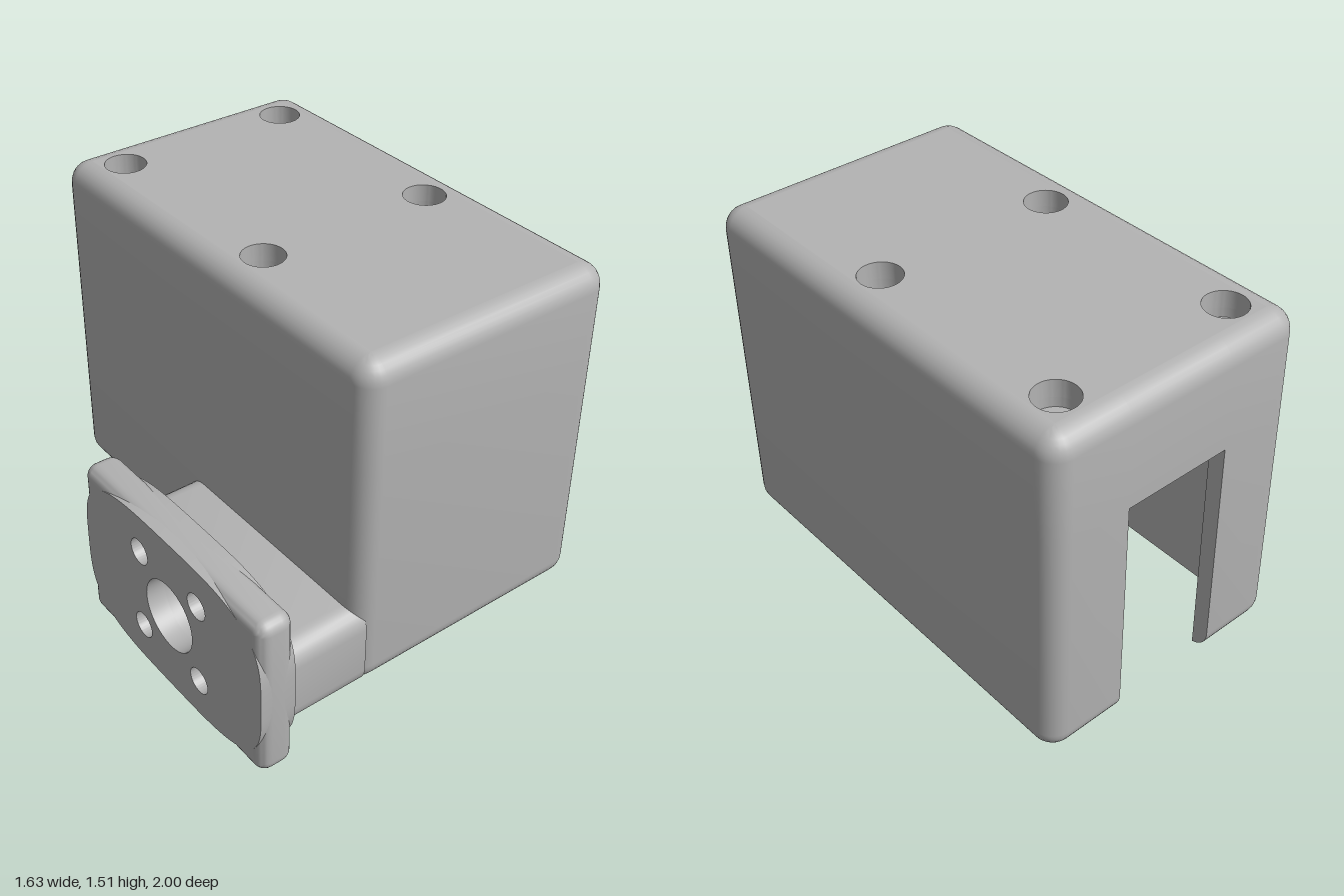
import * as THREE from 'three';
import { toCreasedNormals } from 'three/addons/utils/BufferGeometryUtils.js';

const grey = new THREE.MeshStandardMaterial({ color: 0xb3b3b3 });
grey.name = 'grey';

function part(name, geo, parent) {
  const mesh = new THREE.Mesh(geo, grey);
  mesh.name = name;
  parent.add(mesh);
  return mesh;
}

// Rounded rectangle in the x-z plane, clockwise from the middle of its -z side
function ring(hx, hz, y, inset, rad, gap) {
  const pts = [new THREE.Vector3(gap, y, -(hz - inset))];
  [[1, -1], [1, 1], [-1, 1], [-1, -1]].forEach(([sx, sz], k) => {
    for (let i = 0; i <= 6; i++) {
      const a = (k - 1 + i / 6) * Math.PI / 2;
      pts.push(new THREE.Vector3(
        sx * (hx - inset - rad) + rad * Math.cos(a), y,
        sz * (hz - inset - rad) + rad * Math.sin(a)));
    }
  });
  pts.push(new THREE.Vector3(-gap, y, -(hz - inset)));
  return pts;
}

// Skin through levels [y, inset, cornerRadius], with an optional slot in the -z wall
function loft(hx, hz, levels, gap = 0, slotTop = -Infinity) {
  const pos = [], e1 = new THREE.Vector3(), e2 = new THREE.Vector3();
  const tri = (a, b, c) => {
    e1.subVectors(b, a).cross(e2.subVectors(c, a));
    if (e1.length() > 1e-9) for (const p of [a, b, c]) pos.push(p.x, p.y, p.z);
  };
  const rings = levels.map(([y, d, r]) => ring(hx, hz, y, d, r, gap));
  const n = rings[0].length;
  for (let i = 0; i < rings.length - 1; i++) {
    const p = rings[i], q = rings[i + 1];
    const closed = Math.min(p[0].y, q[0].y) >= slotTop;
    for (let j = 0; j < (closed ? n : n - 1); j++) {
      const k = (j + 1) % n;
      tri(p[j], p[k], q[j]);
      tri(p[k], q[k], q[j]);
    }
  }
  // jambs and header of the slot
  const cut = rings.filter(r => r[0].y <= slotTop);
  if (cut.length) {
    const A = cut.map(r => r[0]), B = cut.map(r => r[n - 1]), m = A.length - 1;
    for (let i = 1; i < m; i++) {
      tri(A[0], A[i], A[i + 1]);
      tri(B[0], B[i + 1], B[i]);
    }
    tri(A[0], A[m], B[0]);
    tri(B[0], A[m], B[m]);
  }
  const geo = new THREE.BufferGeometry();
  geo.setAttribute('position', new THREE.Float32BufferAttribute(pos, 3));
  return toCreasedNormals(geo, 0.6);
}

// Outline in x-z extruded between two heights; holes are [x, z, radius]
function slab(points, holes, y0, y1) {
  const shape = new THREE.Shape(points);
  for (const [x, z, r] of holes) {
    shape.holes.push(new THREE.Path().absarc(x, z, r, 0, Math.PI * 2, true));
  }
  const geo = new THREE.ExtrudeGeometry(shape, { depth: y1 - y0, bevelEnabled: false, curveSegments: 32 });
  geo.rotateX(Math.PI / 2).translate(0, y1, 0);
  return toCreasedNormals(geo, 0.6);
}

const outline = (hx, hz, rad, cx = 0, cz = 0) =>
  ring(hx, hz, 0, 0, rad, 0).slice(1, -1)
    .filter((p, i, a) => i === 0 || p.distanceTo(a[i - 1]) > 1e-6)
    .map(p => new THREE.Vector2(p.x + cx, p.z + cz));

// Quarter-round edge levels, from the flat face (t = 0) to the side (t = 1)
const edge = (y, dir, r, t0, t1, n = 7) => Array.from({ length: n + 1 }, (_, i) => {
  const a = (t0 + (t1 - t0) * i / n) * Math.PI / 2;
  const d = r - r * Math.sin(a);
  return [y + dir * r * (1 - Math.cos(a)), d, r - d];
});

function housing() {
  const g = new THREE.Group();
  g.name = 'housing';
  g.position.set(0.243, 0, -0.04);
  const hx = 0.572, hz = 0.96, r = 0.09, wall = 0.07;
  const top = 1.51, ceiling = 1.44, base = 0.06, slotTop = 1.07;

  // outer skin, open bottom, inner walls and cable slot
  const lip = Math.asin(1 - wall / r) / (Math.PI / 2);
  part('shell', loft(hx, hz, [
    ...edge(top, -1, r, 0, 1),
    [slotTop, 0, r],
    ...edge(base, 1, r, 1, lip),
    [slotTop, wall, 0],
    [ceiling, wall, 0],
    [ceiling, r, 0],
  ], 0.23, slotTop), g);

  // roof with four counterbored screw holes over two rails
  const px = 0.388, zs = [-0.77, 0.155];
  const holes = (rad, sides) => sides.flatMap(s => zs.map(z => [s * px, z, rad]));
  part('roof', slab(outline(hx - r, hz - r, 0), holes(0.085, [-1, 1]), ceiling, top), g);
  for (const s of [-1, 1]) {
    const rail = outline(0.105, hz - wall, 0, s * (hx - wall - 0.105), 0);
    part('railUpper', slab(rail, holes(0.085, [s]), 1.4, ceiling), g);
    part('railLower', slab(rail, holes(0.045, [s]), 1.3, 1.4), g);
  }
  return g;
}

// Built lying flat: local x is height, local y points out to the side
function sideMount() {
  const g = new THREE.Group();
  g.name = 'sideMount';
  g.rotation.z = Math.PI / 2;
  const cx = 0.36, cz = 0.43, hx = 0.36, hz = 0.57, r = 0.05;
  const inner = 0.67, mid = 0.74, outer = 0.82, bore = 0.15;
  const holes = rad => [[cx, cz, bore], ...[-1, 1].flatMap(a =>
    [-1, 1].map(b => [cx + a * 0.185, cz + b * 0.185, rad]))];

  // rounded rim
  const rim = part('plateRim', loft(hx, hz, [
    ...edge(outer, -1, r, 0, 1), ...edge(inner, 1, r, 1, 0),
  ]), g);
  rim.position.set(cx, 0, cz);

  // flat faces and the sharp-edged oval core, drilled and counterbored
  const oval = [];
  for (let i = 0; i < 96; i++) {
    const a = i / 96 * Math.PI * 2, c = Math.cos(a), s = Math.sin(a), e = 2 / 3.5;
    oval.push(new THREE.Vector2(
      cx + hx * Math.sign(c) * Math.abs(c) ** e, cz + hz * Math.sign(s) * Math.abs(s) ** e));
  }
  const face = outline(hx - r, hz - r, 0, cx, cz);
  for (const [name, points] of [['plateFace', face], ['plateCore', oval]]) {
    part(name + 'Outer', slab(points, holes(0.055), mid, outer), g);
    part(name + 'Inner', slab(points, holes(0.09), inner, mid), g);
  }

  // arm joining plate and housing, notched where the large bore runs into it
  const arm = outline(0.19, 0.53, 0.09, 0.25, 0.39);
  part('arm', slab(arm, [], 0.28, 0.63), g);
  const notched = [], half = Math.acos((0.44 - cx) / bore);
  arm.forEach((p, i) => {
    notched.push(p);
    const q = arm[(i + 1) % arm.length];
    if (p.x > 0.439 && q.x > 0.439) {
      for (let k = 0; k <= 28; k++) {
        const a = -half - (2 * Math.PI - 2 * half) * k / 28;
        notched.push(new THREE.Vector2(cx + bore * Math.cos(a), cz + bore * Math.sin(a)));
      }
    }
  });
  part('armNotch', slab(notched, [], 0.63, inner), g);
  return g;
}

export function createModel() {
  const model = new THREE.Group();
  model.name = 'mountedHousing';
  model.add(housing(), sideMount());
  return model;
}
